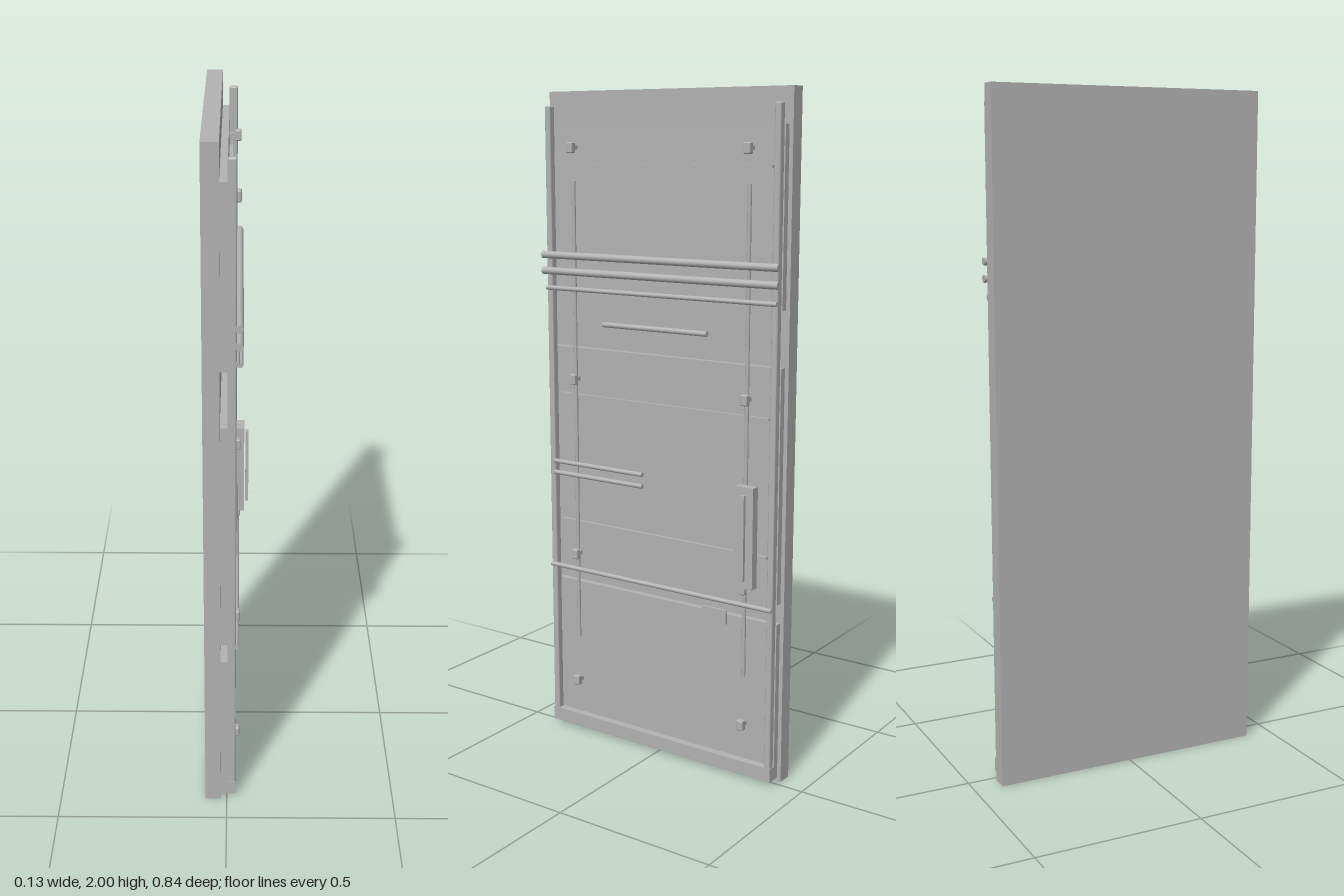
import * as THREE from 'three';
import { RoundedBoxGeometry } from 'three/addons/geometries/RoundedBoxGeometry.js';

export function createModel() {
  const group = new THREE.Group();
  const grey = new THREE.MeshStandardMaterial({ color: 0xb2b2b2 });
  grey.name = 'grey';

  const add = (name, geometry, x, y, z) => {
    const mesh = new THREE.Mesh(geometry, grey);
    mesh.name = name;
    mesh.position.set(x, y, z);
    group.add(mesh);
    return mesh;
  };
  // Box given by its limits on each axis
  const box = (name, [x0, x1], [y0, y1], [z0, z1], round = 0) => {
    const size = [x1 - x0, y1 - y0, z1 - z0];
    const geometry = round
      ? new RoundedBoxGeometry(...size, 2, round)
      : new THREE.BoxGeometry(...size);
    return add(name, geometry, (x0 + x1) / 2, (y0 + y1) / 2, (z0 + z1) / 2);
  };
  // Round bar running along z
  const bar = (name, r, x, y, z0, z1) => {
    const geometry = new THREE.CylinderGeometry(r, r, z1 - z0, 16).rotateX(Math.PI / 2);
    return add(name, geometry, x, y, (z0 + z1) / 2);
  };

  // Backing slab and the three face panels, with open gaps between them
  box('backSlab', [-0.064, -0.018], [0, 2], [-0.418, 0.418]);
  for (const y of [[0.03, 0.493], [0.553, 1.24], [1.4, 1.9]]) {
    box('facePanel', [-0.018, 0.002], y, [-0.406, 0.406]);
  }

  // Bottom tray
  box('bottomTray', [-0.018, 0.026], [0.012, 0.054], [-0.406, 0.406]);

  // Thin cross ribs on the panels
  for (const y of [0.69, 1.093, 1.788]) {
    box('crossRib', [0.002, 0.012], [y - 0.004, y + 0.004], [-0.373, 0.373]);
  }

  // Side posts, rods and clips, the same on both sides
  for (const s of [-1, 1]) {
    box('sidePost', [0.002, 0.026], [0.05, 1.958], [s * 0.394 - 0.01, s * 0.394 + 0.01], 0.005);
    add('verticalRod', new THREE.CylinderGeometry(0.006, 0.006, 1.425, 12), 0.016, 1.028, s * 0.305);
    for (const y of [0.17, 0.59, 1.145, 1.837]) {
      box('clip', [0.018, 0.037], [y - 0.016, y + 0.016], [s * 0.305 - 0.011, s * 0.305 + 0.011], 0.004);
      box('clipStem', [0.002, 0.02], [y - 0.006, y + 0.006], [s * 0.305 - 0.006, s * 0.305 + 0.006]);
    }
  }

  // Full-width horizontal bars
  bar('upperBar', 0.011, 0.033, 1.52, -0.411, 0.411);
  bar('upperBar', 0.011, 0.033, 1.472, -0.411, 0.411);
  bar('lowerBar', 0.007, 0.027, 1.42, -0.403, 0.403);
  bar('lowerBar', 0.007, 0.027, 0.542, -0.403, 0.403);

  // Short bars on the left half and the centre pull bar
  for (const y of [0.843, 0.879]) bar('shortBar', 0.007, 0.023, y, 0.052, 0.388);
  bar('pullBar', 0.008, 0.036, 1.323, -0.183, 0.183);

  // Handle plate with its grip, and the small label plate
  box('handlePlate', [0.024, 0.05], [0.6, 0.9], [-0.35, -0.288]);
  box('handleGrip', [0.054, 0.064], [0.625, 0.878], [-0.328, -0.31]);
  box('smallPlate', [0.02, 0.028], [0.47, 0.513], [-0.25, -0.165]);

  return group;
}
